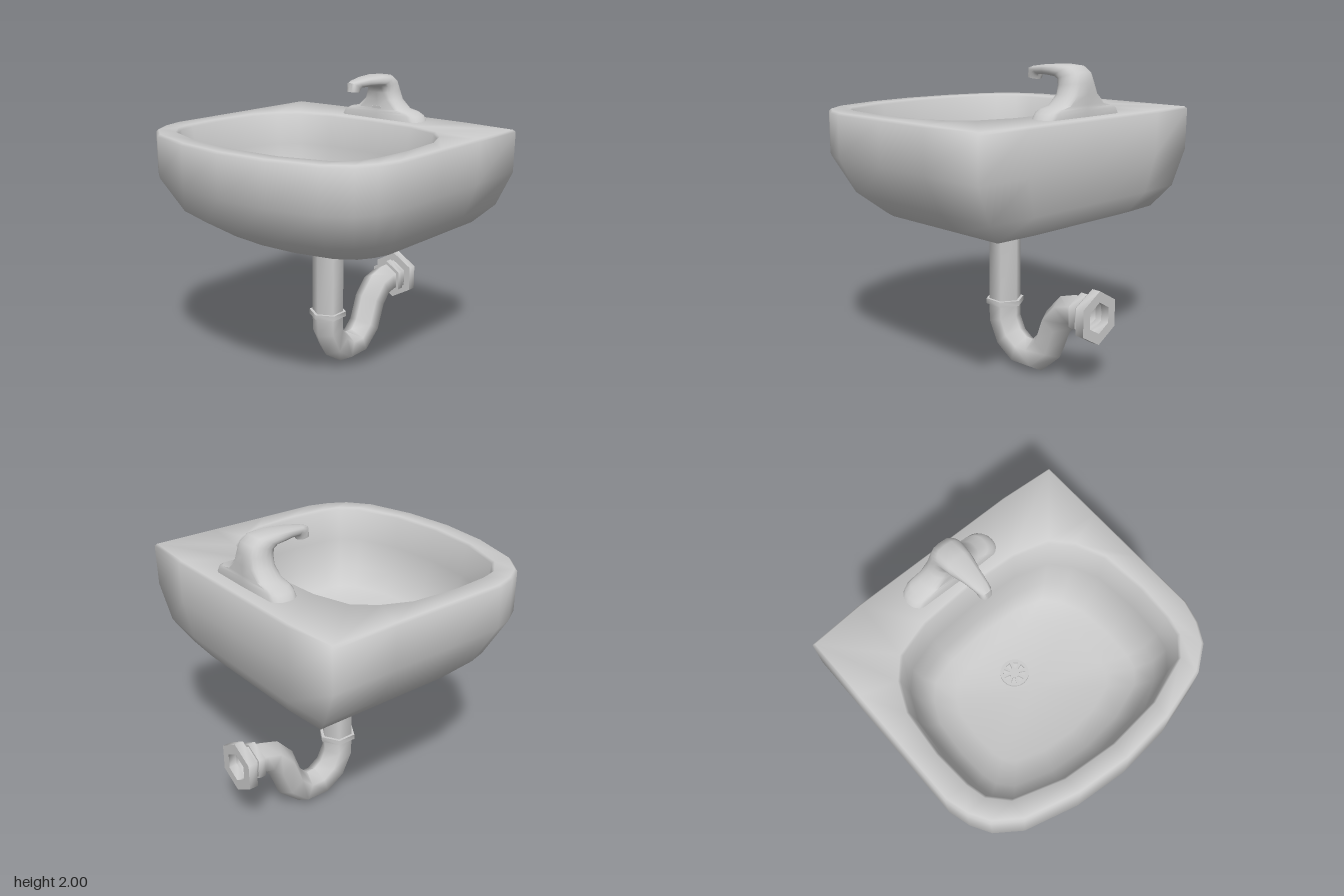
import * as THREE from 'three';
import { toCreasedNormals } from 'three/addons/utils/BufferGeometryUtils.js';

const V = (x, y, z) => new THREE.Vector3(x, y, z);
const grey = new THREE.MeshStandardMaterial({ color: 0xcccccc });
const openGrey = new THREE.MeshStandardMaterial({ color: 0xcccccc, side: THREE.DoubleSide });

// Skin through equal-length rings (right-handed about the travel direction), optionally capped
function loft(rings, crease, capped = true) {
  const n = rings[0].length, pos = [], idx = [];
  rings.forEach(r => r.forEach(p => pos.push(p.x, p.y, p.z)));
  for (let j = 0; j < rings.length - 1; j++) {
    for (let i = 0; i < n; i++) {
      const a = j * n + i, b = j * n + (i + 1) % n;
      idx.push(a, b, b + n, a, b + n, a + n);
    }
  }
  if (capped) [0, rings.length - 1].forEach((j, end) => {
    const c = V(0, 0, 0);
    rings[j].forEach(p => c.addScaledVector(p, 1 / n));
    const ci = pos.length / 3;
    pos.push(c.x, c.y, c.z);
    for (let i = 0; i < n; i++) {
      const a = j * n + i, b = j * n + (i + 1) % n;
      if (end) idx.push(ci, a, b); else idx.push(ci, b, a);
    }
  });
  const g = new THREE.BufferGeometry();
  g.setAttribute('position', new THREE.Float32BufferAttribute(pos, 3));
  g.setIndex(idx);
  return toCreasedNormals(g, crease);
}

// Mirror a half outline of [x, z] points across x = 0
const mirror = half => [...half, ...half.slice(1, -1).reverse().map(([x, z]) => [-x, z])];

function createBasin() {
  const outer = mirror([[0, 0.9], [0.34, 0.87], [0.67, 0.78], [0.82, 0.67], [0.89, 0.55], [0.93, 0.41],
    [0.93, 0], [0.93, -0.4], [0.93, -0.835], [0.57, -0.86], [0, -0.86]]);
  const inner = mirror([[0, 0.77], [0.34, 0.74], [0.64, 0.64], [0.74, 0.53], [0.77, 0.41], [0.785, 0.17],
    [0.76, -0.13], [0.68, -0.31], [0.57, -0.43], [0.34, -0.5], [0, -0.52]]);
  const rings = [];
  // outside: height, half width, back z, front z
  [[1.06, 0.70, -0.76, 0.55], [1.19, 0.83, -0.835, 0.76], [1.42, 0.932, -0.857, 0.9],
    [1.685, 0.932, -0.86, 0.9], [1.7, 0.918, -0.847, 0.886]].forEach(([y, w, back, front]) =>
    rings.push(outer.map(([x, z]) => V(x * w / 0.93, y, back + (z + 0.86) / 1.76 * (front - back)))));
  // bowl: height, scale, centre z
  [[1.7, 1.02, 0.1], [1.685, 1, 0.1], [1.48, 0.96, 0.1], [1.3, 0.9, 0.09], [1.18, 0.79, 0.07], [1.125, 0.6, 0.05]]
    .forEach(([y, s, c]) => rings.push(inner.map(([x, z]) => V(x * s, y, c + (z - 0.1) * s))));
  return loft(rings, 1.7);
}

function createFaucet() {
  // rear z, rear y, front z, front y, half width
  const sections = [
    [-0.77, 1.695, -0.585, 1.695, 0.335], [-0.77, 1.735, -0.588, 1.735, 0.31],
    [-0.766, 1.755, -0.592, 1.755, 0.27], [-0.765, 1.77, -0.595, 1.77, 0.2],
    [-0.765, 1.83, -0.595, 1.83, 0.133], [-0.76, 1.895, -0.585, 1.88, 0.112],
    [-0.742, 1.957, -0.573, 1.91, 0.102], [-0.69, 1.993, -0.545, 1.925, 0.096],
    [-0.58, 2.0, -0.5, 1.93, 0.085], [-0.45, 1.993, -0.45, 1.933, 0.062],
    [-0.35, 1.98, -0.39, 1.93, 0.048], [-0.305, 1.968, -0.385, 1.915, 0.042],
    [-0.298, 1.91, -0.38, 1.9, 0.038]];
  const n = 20;
  return loft(sections.map(([rz, ry, fz, fy, w]) => {
    const mid = V(-0.01, (ry + fy) / 2, (rz + fz) / 2);
    const f = V(0, fy - ry, fz - rz), d = f.length() / 2, r = Math.min(w, d) * 0.9;
    f.normalize();
    return Array.from({ length: n }, (_, i) => {
      const c = Math.round(Math.cos(i / n * 2 * Math.PI) * 1e6) / 1e6;
      const s = Math.round(Math.sin(i / n * 2 * Math.PI) * 1e6) / 1e6;
      const p = mid.clone().addScaledVector(f, Math.sign(c) * (d - r) + r * c);
      p.x += Math.sign(s) * (w - r) + r * s;
      return p;
    });
  }), 1.0);
}

// Six-sided open pipe swept along a path in the x = -0.01 plane
function createTrap() {
  const path = [[1.06, -0.085], [0.41, -0.085], [0.295, -0.087], [0.175, -0.148], [0.106, -0.255], [0.108, -0.385],
    [0.205, -0.492], [0.375, -0.555], [0.465, -0.635], [0.488, -0.72], [0.49, -0.84]].map(([y, z]) => V(-0.01, y, z));
  const X = V(1, 0, 0);
  return loft(path.map((p, i) => {
    const t = path[Math.min(i + 1, path.length - 1)].clone().sub(p).normalize();
    t.add(p.clone().sub(path[Math.max(i - 1, 0)]).normalize()).normalize();
    const u = X.clone().cross(t);
    return Array.from({ length: 6 }, (_, k) =>
      p.clone().addScaledVector(u, 0.107 * Math.cos(k * Math.PI / 3)).addScaledVector(X, 0.107 * Math.sin(k * Math.PI / 3)));
  }), 1.15, false);
}

// Round strainer with eight radial slots
function createDrain() {
  const s = new THREE.Shape().absarc(0, 0, 0.092, 0, Math.PI * 2);
  for (let i = 0; i < 8; i++) {
    const a = i * Math.PI / 4;
    const corner = (r, da) => new THREE.Vector2(r * Math.cos(a + da), r * Math.sin(a + da));
    s.holes.push(new THREE.Path([corner(0.034, -0.2), corner(0.034, 0.2), corner(0.072, 0.24), corner(0.072, -0.24)]));
  }
  return new THREE.ExtrudeGeometry(s, { depth: 0.02, bevelEnabled: false, curveSegments: 10 }).rotateX(-Math.PI / 2);
}

// Hexagonal ring around the y axis, from height a to b
function createCollar(radius, a, b) {
  const hole = 0.1;
  const profile = [[hole, a], [radius, a], [radius, b], [hole, b], [hole, a]].map(p => new THREE.Vector2(...p));
  return toCreasedNormals(new THREE.LatheGeometry(profile, 6), 1.15);
}

export function createModel() {
  const model = new THREE.Group();
  const add = (name, geometry, x = 0, y = 0, z = 0, material = grey) => {
    const m = new THREE.Mesh(geometry, material);
    m.name = name;
    m.position.set(x, y, z);
    model.add(m);
  };
  add('basin', createBasin());
  add('faucet', createFaucet());
  add('faucetSlot', new THREE.BoxGeometry(0.075, 0.016, 0.012), -0.01, 1.777, -0.598);
  add('drain', createDrain(), -0.01, 1.12, -0.085);
  add('trapPipe', createTrap(), 0, 0, 0, openGrey);

  // collars on the upright pipe: radius, bottom, top
  [['basinFlange', 0.18, 1.01, 1.065], ['upperCollar', 0.128, 0.972, 1.0], ['lowerCollar', 0.128, 0.4, 0.435]]
    .forEach(([name, r, y0, y1]) => add(name, createCollar(r, y0, y1), -0.01, 0, -0.085));
  // collars at the wall, the last one open at the back: radius, back z, front z
  [['wallCollar', 0.13, -0.797, -0.747], ['wallSleeve', 0.115, -0.84, -0.795], ['wallFlange', 0.172, -0.895, -0.835]]
    .forEach(([name, r, z0, z1]) => add(name, createCollar(r, z0, z1).rotateX(Math.PI / 2), -0.01, 0.49, 0));
  return model;
}
